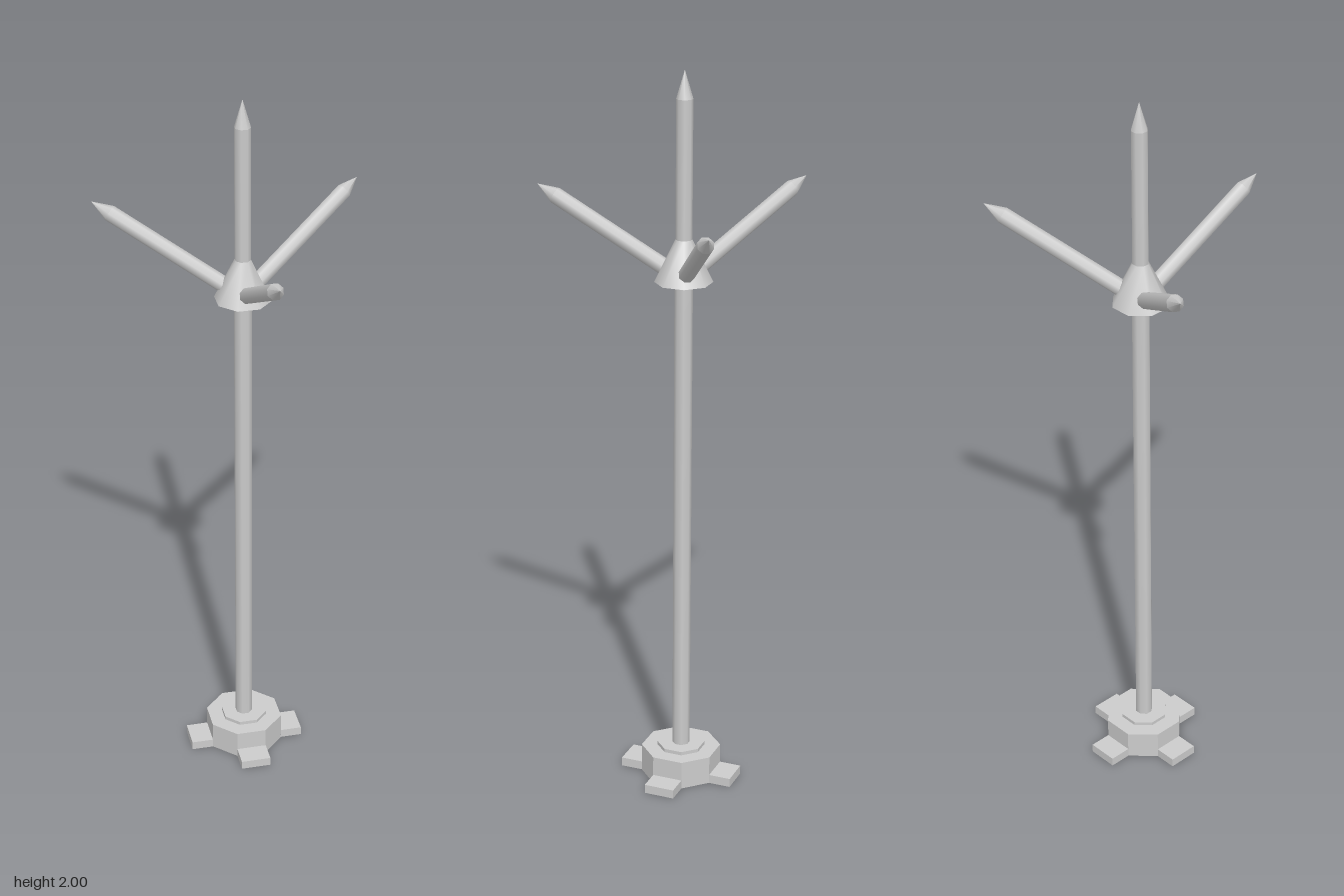
import * as THREE from 'three';

const smooth = new THREE.MeshStandardMaterial({ color: 0xcccccc, side: THREE.DoubleSide });
const flat = new THREE.MeshStandardMaterial({ color: 0xcccccc, side: THREE.DoubleSide, flatShading: true });

function add(parent, name, geometry, material) {
  const mesh = new THREE.Mesh(geometry, material);
  mesh.name = name;
  parent.add(mesh);
  return mesh;
}

// Eight-sided prism or frustum between two heights; radii measured to the flats
function octagon(bottom, top, y0, y1, open = true) {
  const k = 1 / Math.cos(Math.PI / 8);
  return new THREE.CylinderGeometry(top * k, bottom * k, y1 - y0, 8, 1, open, Math.PI / 8)
    .translate(0, (y0 + y1) / 2, 0);
}

// Flat octagonal plate facing up
function plate(radius, y) {
  return new THREE.CircleGeometry(radius / Math.cos(Math.PI / 8), 8, Math.PI / 8)
    .rotateX(-Math.PI / 2).translate(0, y, 0);
}

// Pointed rod along +y, starting at the origin
function spike(name, radius, shaft, tip) {
  const group = new THREE.Group();
  group.name = name;
  add(group, name + 'Shaft', octagon(radius, radius, 0, shaft), smooth);
  add(group, name + 'Tip', octagon(radius, 0, shaft, shaft + tip), smooth);
  return group;
}

// Bottomless box with its inner end open against the base
function footGeometry(inner, outer, halfWidth, height) {
  const geo = new THREE.BoxGeometry(halfWidth * 2, height, outer - inner)
    .translate(0, height / 2, (inner + outer) / 2);
  // face order: +x, -x, +y, -y, +z, -z, six indices each
  const index = Array.from(geo.index.array);
  geo.setIndex([...index.slice(0, 18), ...index.slice(24, 30)]);
  geo.clearGroups();
  return geo;
}

export function createModel() {
  const root = new THREE.Group();
  root.name = 'spikedPole';
  const body = new THREE.Group();
  body.name = 'body';
  body.position.z = -0.105;
  root.add(body);

  // Hollow base with a stepped collar
  add(body, 'baseWall', octagon(0.1025, 0.1025, 0, 0.08), flat);
  add(body, 'baseTop', plate(0.1025, 0.08), flat);
  add(body, 'collarWall', octagon(0.061, 0.061, 0.08, 0.09), flat);
  add(body, 'collarTop', plate(0.061, 0.09), flat);

  // Four feet
  for (let i = 0; i < 4; i++) {
    const foot = add(body, 'foot', footGeometry(0.1025, 0.164, 0.0425, 0.025), flat);
    foot.rotation.y = i * Math.PI / 2;
  }

  // Pole, conical hub and top spike
  add(body, 'pole', octagon(0.0225, 0.0225, 0.09, 1.45), smooth);
  add(body, 'hub', octagon(0.072, 0.0205, 1.44, 1.555, false), smooth);
  const topSpike = spike('topSpike', 0.0205, 0.375, 0.075);
  topSpike.position.y = 1.55;
  body.add(topSpike);

  // Three slanted arms around the hub
  const rise = THREE.MathUtils.degToRad(27.5);
  const length = 0.38 / Math.cos(rise);
  for (let i = 0; i < 3; i++) {
    const turn = new THREE.Group();
    turn.name = 'armMount';
    turn.rotation.y = i * Math.PI * 2 / 3;
    const arm = spike('arm', 0.0205, length - 0.058, 0.058);
    arm.position.set(0, 1.467, 0.04);
    arm.rotation.x = Math.PI / 2 - rise;
    turn.add(arm);
    body.add(turn);
  }
  return root;
}
